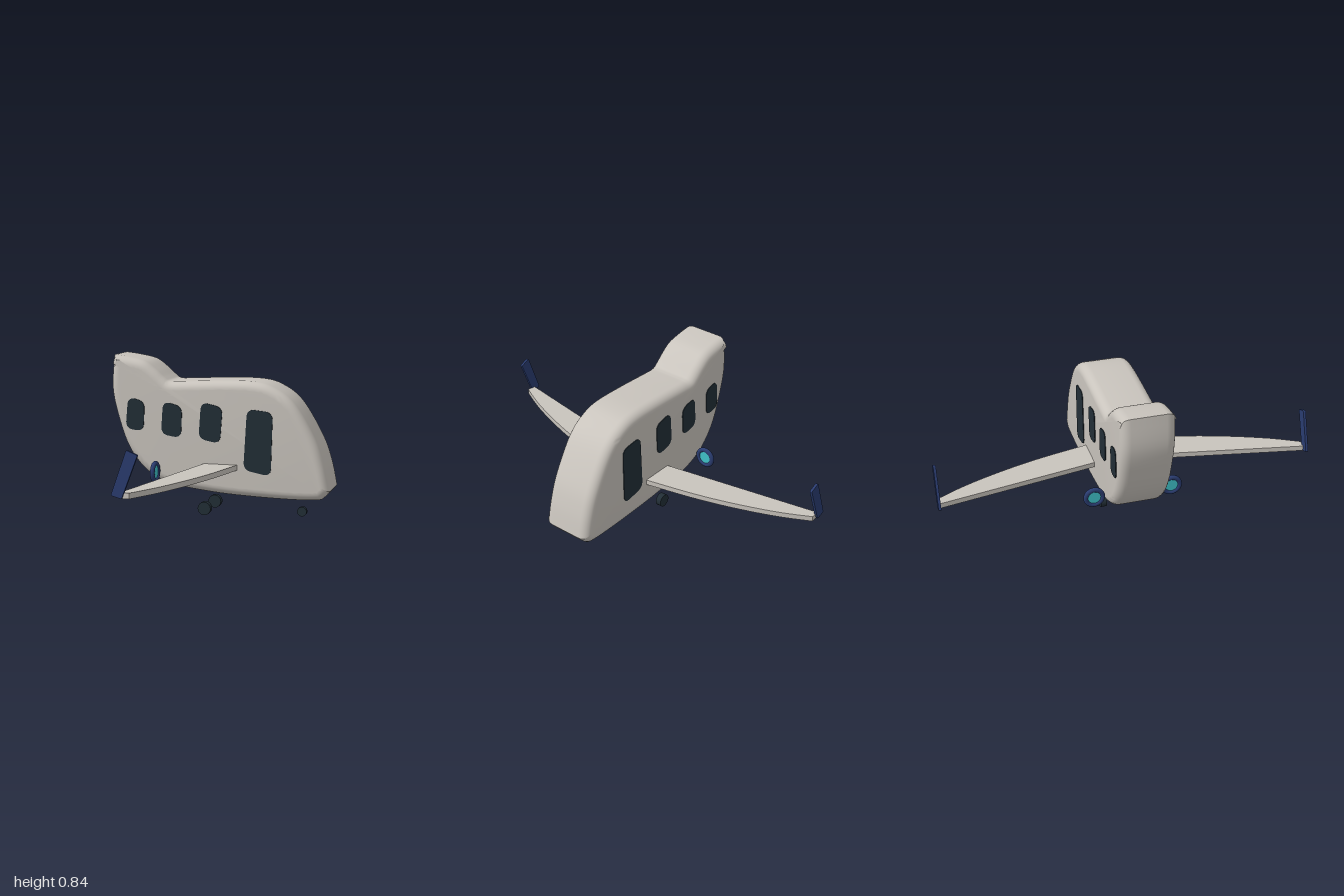
import * as THREE from 'three';
import { toCreasedNormals } from 'three/addons/utils/BufferGeometryUtils.js';

const material = (name, color) => Object.assign(new THREE.MeshStandardMaterial({ color }), { name });
const vecs = (pts) => pts.map(([x, y]) => new THREE.Vector2(x, y));

// Closed polygon with rounded corners
function roundedPolygon(pts, r) {
  const p = vecs(pts), n = p.length, shape = new THREE.Shape();
  p.forEach((c, i) => {
    const toward = (q) => c.clone().add(q.clone().sub(c).setLength(r));
    const a = toward(p[(i + n - 1) % n]), b = toward(p[(i + 1) % n]);
    if (i) shape.lineTo(a.x, a.y); else shape.moveTo(a.x, a.y);
    shape.quadraticCurveTo(c.x, c.y, b.x, b.y);
  });
  shape.closePath();
  return shape;
}

// Flat slab of a shape, centred on z = 0
function slab(shape, thickness) {
  const geo = new THREE.ExtrudeGeometry(shape, { depth: thickness, bevelEnabled: false, curveSegments: 10 });
  return geo.translate(0, 0, -thickness / 2);
}

export function createModel() {
  const model = new THREE.Group();
  model.name = 'airplane';
  const grey = material('warm grey', 0xc9c4bd);
  const navy = material('navy', 0x2a3c70);
  const dark = material('dark slate', 0x222e36);
  const cyan = material('cyan', 0x3fc1c9);

  const add = (name, geo, mat, x = 0, y = 0, z = 0) => {
    const mesh = new THREE.Mesh(geo, mat);
    mesh.name = name;
    mesh.position.set(x, y, z);
    model.add(mesh);
    return mesh;
  };

  // Fuselage: side silhouette with a rounded rim
  const side = new THREE.Shape();
  side.moveTo(-0.58, 0.838);
  side.splineThru(vecs([[-0.49, 0.826], [-0.41, 0.807], [-0.35, 0.766], [-0.3, 0.722], [-0.27, 0.705],
    [-0.2, 0.706], [0, 0.715], [0.18, 0.715], [0.29, 0.687], [0.4, 0.605], [0.51, 0.425],
    [0.56, 0.29], [0.588, 0.16]]));
  side.splineThru(vecs([[0.56, 0.128], [0.525, 0.111], [0.4, 0.106], [0.2, 0.11], [0, 0.121],
    [-0.2, 0.145], [-0.32, 0.176], [-0.42, 0.24], [-0.5, 0.345], [-0.555, 0.49], [-0.592, 0.66], [-0.58, 0.838]]));
  const bodyGeo = new THREE.ExtrudeGeometry(side, {
    depth: 0.18, bevelThickness: 0.05, bevelSize: 0.045, bevelOffset: -0.045, bevelSegments: 6, curveSegments: 5,
  }).translate(0, 0, -0.09);
  add('fuselage', toCreasedNormals(bodyGeo, 0.6), grey);

  // Windows and door, as corners from lower left, counter-clockwise
  const openings = {
    rearWindow: [[-0.507, 0.452], [-0.408, 0.438], [-0.4, 0.598], [-0.492, 0.619]],
    middleWindow: [[-0.31, 0.428], [-0.2, 0.411], [-0.194, 0.578], [-0.298, 0.602]],
    frontWindow: [[-0.104, 0.412], [0.012, 0.39], [0.026, 0.58], [-0.09, 0.605]],
    door: [[0.138, 0.258], [0.284, 0.23], [0.293, 0.562], [0.157, 0.577]],
  };

  for (const s of [1, -1]) {
    const label = s > 0 ? 'Near' : 'Far';
    for (const [name, pts] of Object.entries(openings))
      add(name + label, slab(roundedPolygon(pts, 0.042), 0.008), dark, 0, 0, s * 0.14);

    // Swept wing with a curved leading edge
    const plan = new THREE.Shape();
    plan.moveTo(-0.072, -s * 0.12);
    plan.lineTo(-0.228, -s * 0.99);
    plan.lineTo(-0.18, -s * 0.99);
    plan.splineThru(vecs([[-0.1, -s * 0.83], [-0.02, -s * 0.62], [0.045, -s * 0.4], [0.107, -s * 0.12]]));
    plan.closePath();
    add('wing' + label, toCreasedNormals(slab(plan, 0.028).rotateX(-Math.PI / 2), 0.6), grey, 0, 0.267, 0);

    // Winglet leaning forward at the tip
    const fin = roundedPolygon([[-0.268, 0.267], [-0.215, 0.252], [-0.135, 0.46], [-0.19, 0.482]], 0.008);
    add('winglet' + label, slab(fin, 0.014), navy, 0, 0, s * 0.992);

    // Engine ring with a disc inside
    const ring = new THREE.TorusGeometry(0.045, 0.0125, 12, 36).rotateY(Math.PI / 2);
    add('engineRing' + label, ring, navy, -0.322, 0.237, s * 0.208);
    const disc = new THREE.CylinderGeometry(0.036, 0.036, 0.01, 32).rotateZ(Math.PI / 2);
    add('engineDisc' + label, disc, cyan, -0.322, 0.237, s * 0.208);

    // Main wheels
    const wheel = new THREE.CylinderGeometry(0.035, 0.035, 0.032, 28).rotateX(Math.PI / 2);
    add('mainWheel' + label, wheel, dark, -0.083, 0.035, s * 0.1);
  }

  // Nose wheel
  add('noseWheel', new THREE.CylinderGeometry(0.025, 0.025, 0.025, 28).rotateX(Math.PI / 2), dark, 0.422, 0.026, 0);
  return model;
}
